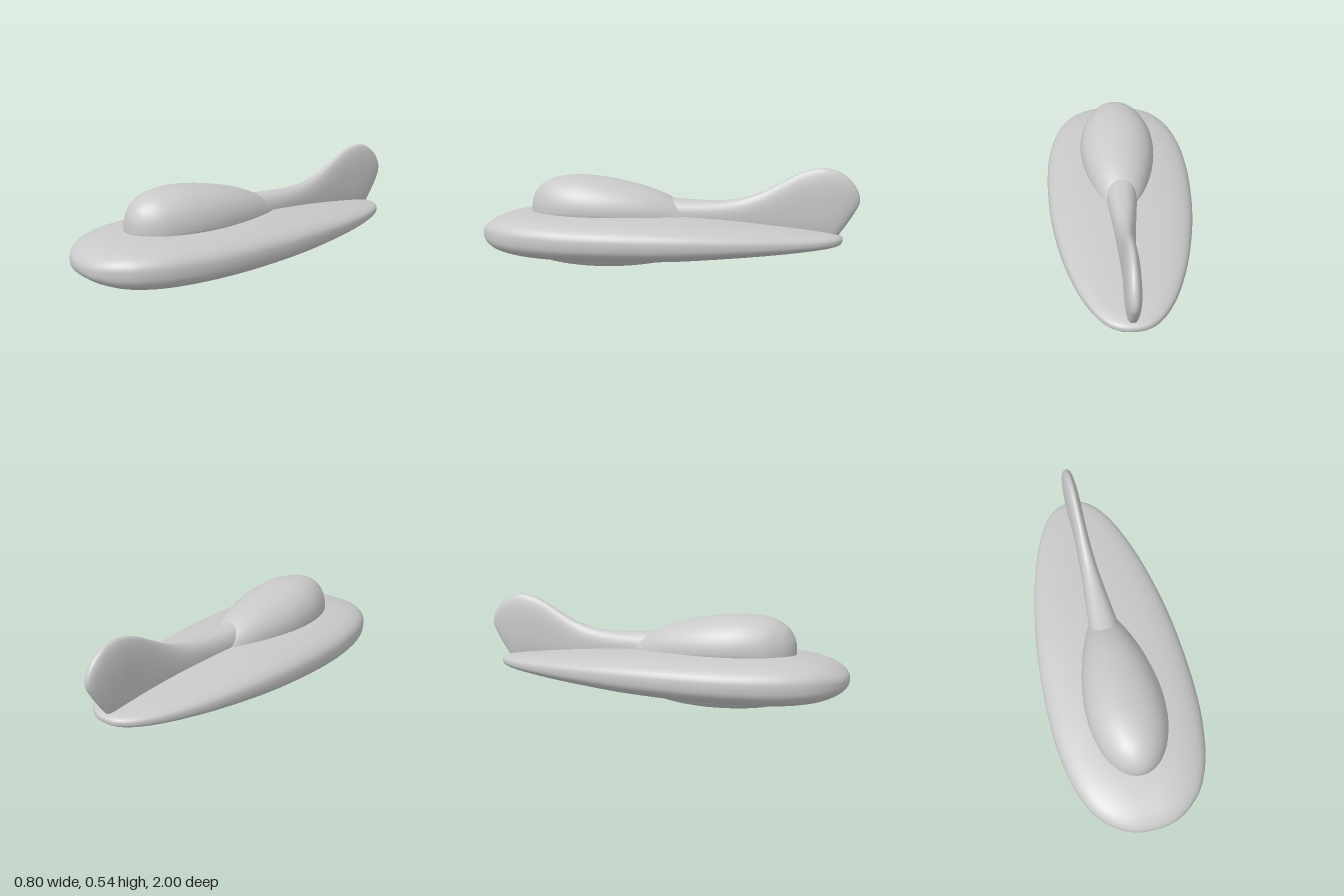
import * as THREE from 'three';
import { mergeVertices } from 'three/addons/utils/BufferGeometryUtils.js';

// Loft of superelliptical sections; each station is [z, halfWidth, topY, bottomY], front to back
function loft(stations, power, midBias = 0.5, rows = 90, cols = 64) {
  const plan = new THREE.SplineCurve(stations.map(s => new THREE.Vector2(s[0], s[1])));
  const side = new THREE.SplineCurve(stations.map(s => new THREE.Vector2(s[2], s[3])));
  const pos = [], index = [];
  const sp = v => Math.sign(v) * Math.pow(Math.abs(v), 2 / power);
  for (let i = 0; i <= rows; i++) {
    const p = plan.getPoint(i / rows), q = side.getPoint(i / rows);
    const mid = q.y + (q.x - q.y) * midBias;
    const w = Math.max(p.y, 0);
    for (let j = 0; j < cols; j++) {
      const a = (j / cols) * Math.PI * 2, s = sp(Math.sin(a));
      pos.push(w * sp(Math.cos(a)), mid + s * (s > 0 ? q.x - mid : mid - q.y), p.x);
      if (i === rows) continue;
      const k = i * cols, n = (j + 1) % cols;
      index.push(k + j, k + cols + j, k + n, k + n, k + cols + j, k + cols + n);
    }
  }
  let g = new THREE.BufferGeometry();
  g.setAttribute('position', new THREE.Float32BufferAttribute(pos, 3));
  g.setIndex(index);
  g = mergeVertices(g, 1e-5);
  g.computeVertexNormals();
  return g;
}

export function createModel() {
  const group = new THREE.Group();
  const grey = new THREE.MeshStandardMaterial({ name: 'lightGrey', color: 0xc8c8c8 });
  const add = (name, geometry) => {
    const mesh = new THREE.Mesh(geometry, grey);
    mesh.name = name;
    group.add(mesh);
  };

  // Flattened teardrop hull
  add('hull', loft([
    [1, 0, 0.17, 0.17], [0.993, 0.075, 0.195, 0.143], [0.97, 0.145, 0.22, 0.118],
    [0.92, 0.22, 0.248, 0.092], [0.84, 0.29, 0.271, 0.069], [0.7, 0.35, 0.287, 0.052],
    [0.5, 0.388, 0.29, 0.047], [0.3, 0.398, 0.289, 0.048], [0.1, 0.392, 0.285, 0.054],
    [-0.1, 0.375, 0.278, 0.064], [-0.3, 0.343, 0.264, 0.08], [-0.5, 0.297, 0.246, 0.098],
    [-0.68, 0.237, 0.227, 0.116], [-0.8, 0.178, 0.213, 0.129], [-0.87, 0.125, 0.202, 0.139],
    [-0.905, 0.077, 0.191, 0.149], [-0.918, 0.035, 0.18, 0.159], [-0.92, 0, 0.17, 0.17],
  ], 2.7));

  // Blunt-nosed canopy tapering to the tail
  add('canopy', loft([
    [0.737, 0, 0.3, 0.28], [0.732, 0.035, 0.345, 0.25], [0.715, 0.073, 0.385, 0.23],
    [0.68, 0.115, 0.427, 0.21], [0.61, 0.161, 0.462, 0.2], [0.5, 0.195, 0.478, 0.2],
    [0.38, 0.206, 0.474, 0.2], [0.25, 0.196, 0.455, 0.2], [0.1, 0.164, 0.42, 0.2],
    [-0.02, 0.124, 0.373, 0.2], [-0.12, 0.08, 0.31, 0.2], [-0.18, 0.045, 0.265, 0.2],
    [-0.21, 0, 0.23, 0.22],
  ], 2.1, 0.35));

  // Shallow belly bulge
  add('belly', loft([
    [0.74, 0, 0.1, 0.09], [0.73, 0.06, 0.12, 0.065], [0.69, 0.13, 0.14, 0.042],
    [0.61, 0.188, 0.15, 0.021], [0.5, 0.222, 0.15, 0.008], [0.36, 0.233, 0.15, 0.002],
    [0.22, 0.219, 0.15, 0.005], [0.08, 0.178, 0.15, 0.018], [-0.04, 0.126, 0.15, 0.039],
    [-0.12, 0.08, 0.14, 0.061], [-0.18, 0, 0.1, 0.09],
  ], 2.3));

  // Tail fin rising out of the spine
  add('tailFin', loft([
    [0.12, 0.09, 0.37, 0.18], [0.02, 0.085, 0.369, 0.18], [-0.1, 0.078, 0.361, 0.18],
    [-0.2, 0.068, 0.358, 0.18], [-0.3, 0.058, 0.36, 0.18], [-0.4, 0.049, 0.374, 0.17],
    [-0.5, 0.042, 0.408, 0.165], [-0.6, 0.038, 0.46, 0.16], [-0.7, 0.037, 0.512, 0.16],
    [-0.8, 0.039, 0.538, 0.16], [-0.87, 0.038, 0.53, 0.165], [-0.92, 0.035, 0.504, 0.225],
    [-0.96, 0.029, 0.468, 0.286], [-0.985, 0.02, 0.43, 0.33], [-0.997, 0.01, 0.4, 0.357],
    [-1, 0, 0.38, 0.378],
  ], 2.3));

  return group;
}
